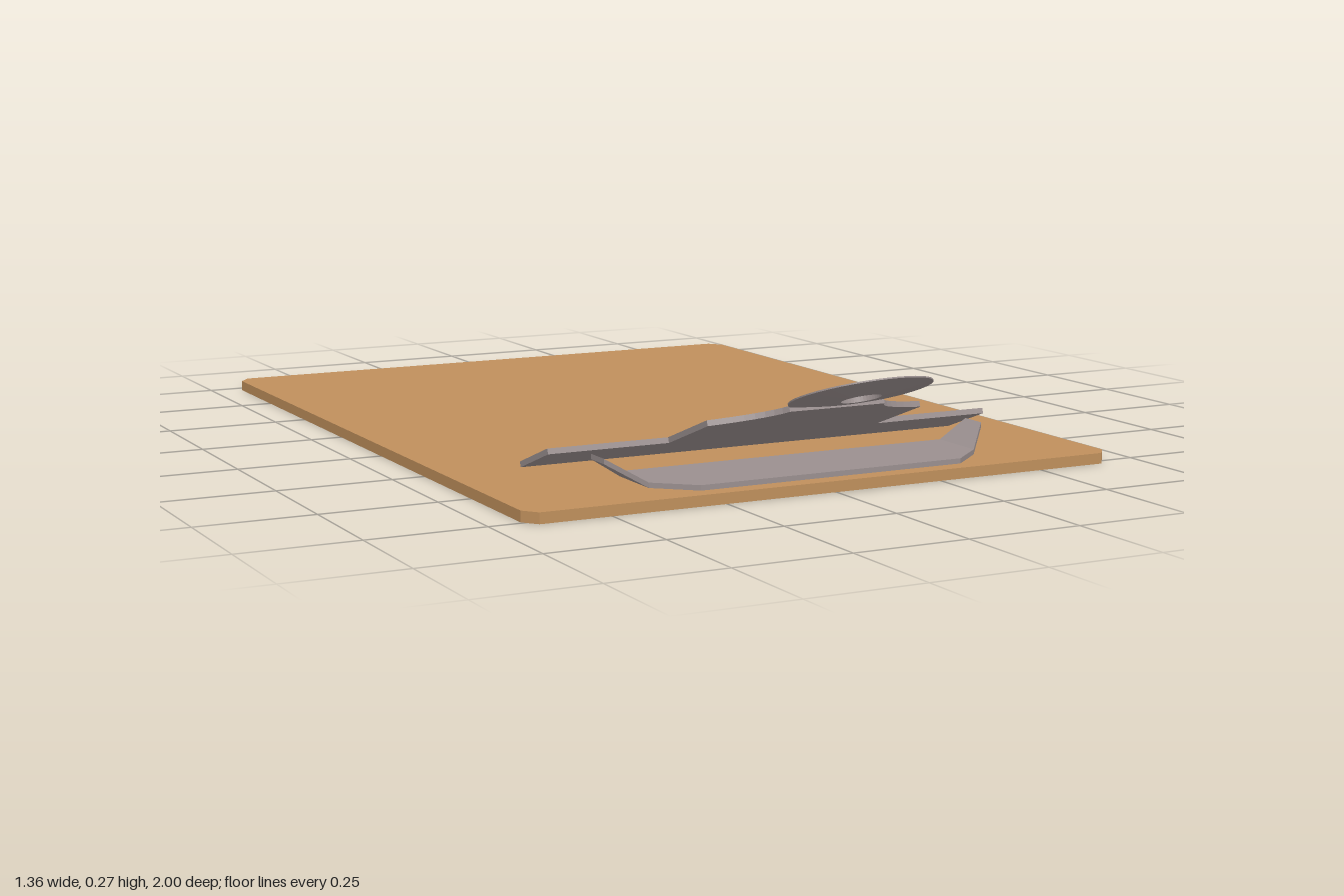
import * as THREE from 'three';

const wood = new THREE.MeshStandardMaterial({ color: 0xbf8f5c, flatShading: true });
const metal = new THREE.MeshStandardMaterial({ color: 0x9a8f8f, flatShading: true });

function part(name, geometry, material) {
  const mesh = new THREE.Mesh(geometry, material);
  mesh.name = name;
  return mesh;
}

// Horizontal sheet from an outline of [x, z] points, bottom at height y
function sheet(points, y, thickness) {
  const shape = new THREE.Shape(points.map(([x, z]) => new THREE.Vector2(x, -z)));
  return new THREE.ExtrudeGeometry(shape, { depth: thickness, bevelEnabled: false })
    .rotateX(-Math.PI / 2)
    .translate(0, y, 0);
}

// Board with clipped corners
function makeBoard() {
  const w = 0.68, back = -1, front = 0.775, cx = 0.025, cz = 0.032;
  return part('board', sheet([
    [-w + cx, front], [w - cx, front], [w, front - cz], [w, back + cz],
    [w - cx, back], [-w + cx, back], [-w, back + cz], [-w, front - cz],
  ], 0, 0.023), wood);
}

// Base plate lying on the board, with two wings folded upwards
function makeBase() {
  const base = new THREE.Group();
  base.name = 'clipBase';
  const fold = 0.385, y = 0.024, t = 0.011;
  base.add(part('basePlate', sheet([
    [-fold, 0.54], [fold, 0.54], [fold, 0.67], [0.305, 0.74], [-0.305, 0.74], [-fold, 0.67],
  ], y, t), metal));
  for (const side of [1, -1]) {
    const wing = sheet([
      [side * fold, 0.54], [side * 0.45, 0.54], [side * 0.45, 0.6], [side * fold, 0.67],
    ], y, t);
    const p = wing.attributes.position;
    for (let i = 0; i < p.count; i++) {
      p.setY(i, p.getY(i) + (Math.abs(p.getX(i)) - fold) * 0.64);
    }
    wing.computeVertexNormals();
    base.add(part(side > 0 ? 'leftWing' : 'rightWing', wing, metal));
  }
  base.position.x = 0.015;
  return base;
}

// Tilted clamp: wide jaw, narrower body, necked round handle with a hole
function makeClamp() {
  const clamp = new THREE.Group();
  clamp.name = 'clamp';
  const tilt = Math.atan(0.369), z0 = 0.384;
  const s = (z) => (z - z0) / Math.cos(tilt); // distance along the slope

  const outline = new THREE.Shape();
  outline.moveTo(-0.522, 0);
  outline.lineTo(0.522, 0);
  outline.lineTo(0.522, s(0.52));
  outline.lineTo(0.25, s(0.52));
  outline.lineTo(0.25, s(0.688));
  outline.bezierCurveTo(0.18, s(0.705), 0.125, s(0.73), 0.11, s(0.772));
  outline.lineTo(-0.11, s(0.772));
  outline.bezierCurveTo(-0.125, s(0.73), -0.18, s(0.705), -0.25, s(0.688));
  outline.lineTo(-0.25, s(0.52));
  outline.lineTo(-0.522, s(0.52));
  outline.closePath();
  clamp.add(part('jawPlate', new THREE.ExtrudeGeometry(outline, {
    depth: 0.012, bevelEnabled: false, curveSegments: 8,
  }), metal));

  // Handle disc, flat above and thinning to its rim below
  const profile = [[0.041, -0.014], [0.145, -0.003], [0.145, 0], [0.041, 0], [0.041, -0.014]];
  const disc = new THREE.LatheGeometry(profile.map(([r, h]) => new THREE.Vector2(r, h)), 40);
  disc.rotateX(-Math.PI / 2).translate(0, s(0.861), 0);
  clamp.add(part('handle', disc, metal));

  clamp.rotation.x = Math.PI / 2 - tilt;
  clamp.position.set(0, 0.041, z0);
  return clamp;
}

export function createModel() {
  const model = new THREE.Group();
  model.name = 'clipboard';
  model.add(makeBoard(), makeBase(), makeClamp());
  return model;
}
